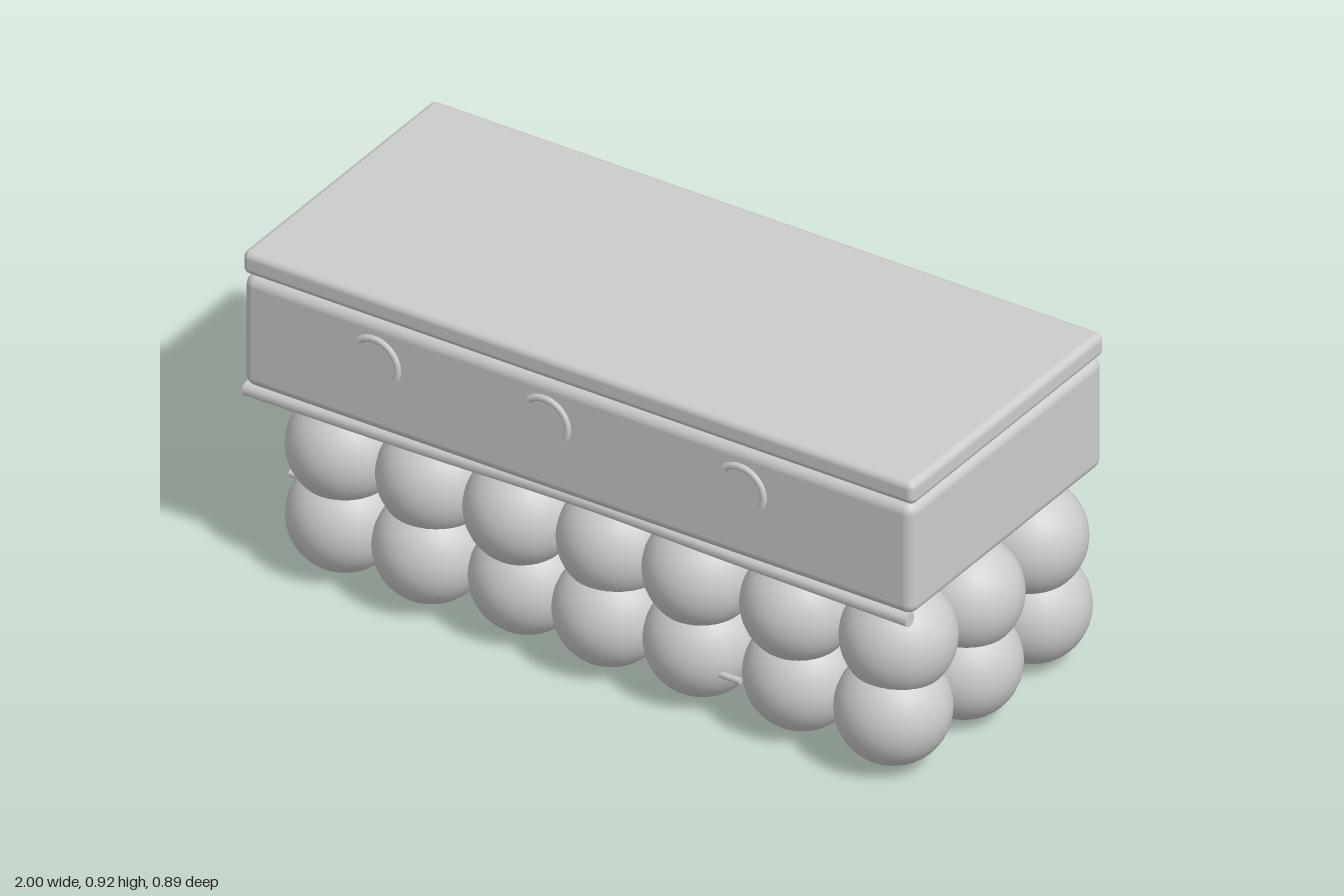
import * as THREE from 'three';
import { RoundedBoxGeometry } from 'three/addons/geometries/RoundedBoxGeometry.js';

export function createModel() {
  const model = new THREE.Group();
  const grey = new THREE.MeshStandardMaterial({ color: 0xcccccc });
  grey.name = 'plain grey';

  const add = (name, geometry, x = 0, y = 0, z = 0, parent = model) => {
    const mesh = new THREE.Mesh(geometry, grey);
    mesh.name = name;
    mesh.position.set(x, y, z);
    parent.add(mesh);
    return mesh;
  };

  // Rounded chest and its lid
  add('chestBody', new RoundedBoxGeometry(1.97, 0.32, 0.855, 3, 0.03), -0.01, 0.69, 0.005);
  add('chestLid', new RoundedBoxGeometry(1.975, 0.066, 0.855, 3, 0.02), -0.01, 0.885, 0.005);

  // Arched handles half sunk into the front face
  for (const x of [-0.605, -0.105, 0.47]) {
    const handle = add('handle', new THREE.TorusGeometry(0.068, 0.01, 8, 24, 2.75), x, 0.73, 0.432);
    handle.rotation.z = -0.45;
  }

  // Slightly bowed rail under the front edge
  const railPath = new THREE.CatmullRomCurve3([
    [-1, 0.508, 0.405], [-0.5, 0.516, 0.41], [0, 0.522, 0.405], [0.4, 0.513, 0.405], [0.95, 0.506, 0.405],
  ].map((p) => new THREE.Vector3(...p)));
  add('frontRail', new THREE.TubeGeometry(railPath, 32, 0.02, 10));
  for (const [end, turn] of [[railPath.getPoint(0), -1], [railPath.getPoint(1), 1]]) {
    const cap = add('railCap', new THREE.CircleGeometry(0.02, 10), end.x, end.y, end.z);
    cap.rotation.y = turn * Math.PI / 2;
  }

  // Two layers of balls, three slightly uneven rows each
  const ball = new THREE.SphereGeometry(0.148, 32, 20);
  const rows = [
    { z: 0.285, low: 0.157, high: 0.36, xs: [-0.79, -0.53, -0.26, 0, 0.26, 0.55, 0.83] },
    { z: 0.01, low: 0.152, high: 0.35, xs: [-0.85, -0.56, -0.28, 0, 0.28, 0.57, 0.85] },
    { z: -0.285, low: 0.158, high: 0.36, xs: [-0.84, -0.55, -0.28, 0, 0.28, 0.57, 0.85] },
  ];
  const balls = new THREE.Group();
  balls.name = 'ballCluster';
  model.add(balls);
  rows.forEach(({ z, low, high, xs }, r) => xs.forEach((x, i) => {
    const shift = 0.012 * Math.sin(i * 2.4 + r);
    add('lowerBall', ball, x, low + shift * 0.3, z + shift, balls);
    add('upperBall', ball, x, high - shift * 0.4, z - shift, balls);
  }));

  // Short pegs showing between the front balls
  for (const [x, y, z] of [[0.395, 0.132, 0.37], [0.4, 0.345, 0.3], [-0.4, 0.45, 0.3], [-0.4, 0.25, 0.3], [-0.94, 0.19, 0.25]]) {
    const peg = add('peg', new THREE.CylinderGeometry(0.009, 0.009, 0.07, 8), x, y, z);
    peg.rotation.z = Math.PI / 2;
  }
  return model;
}
